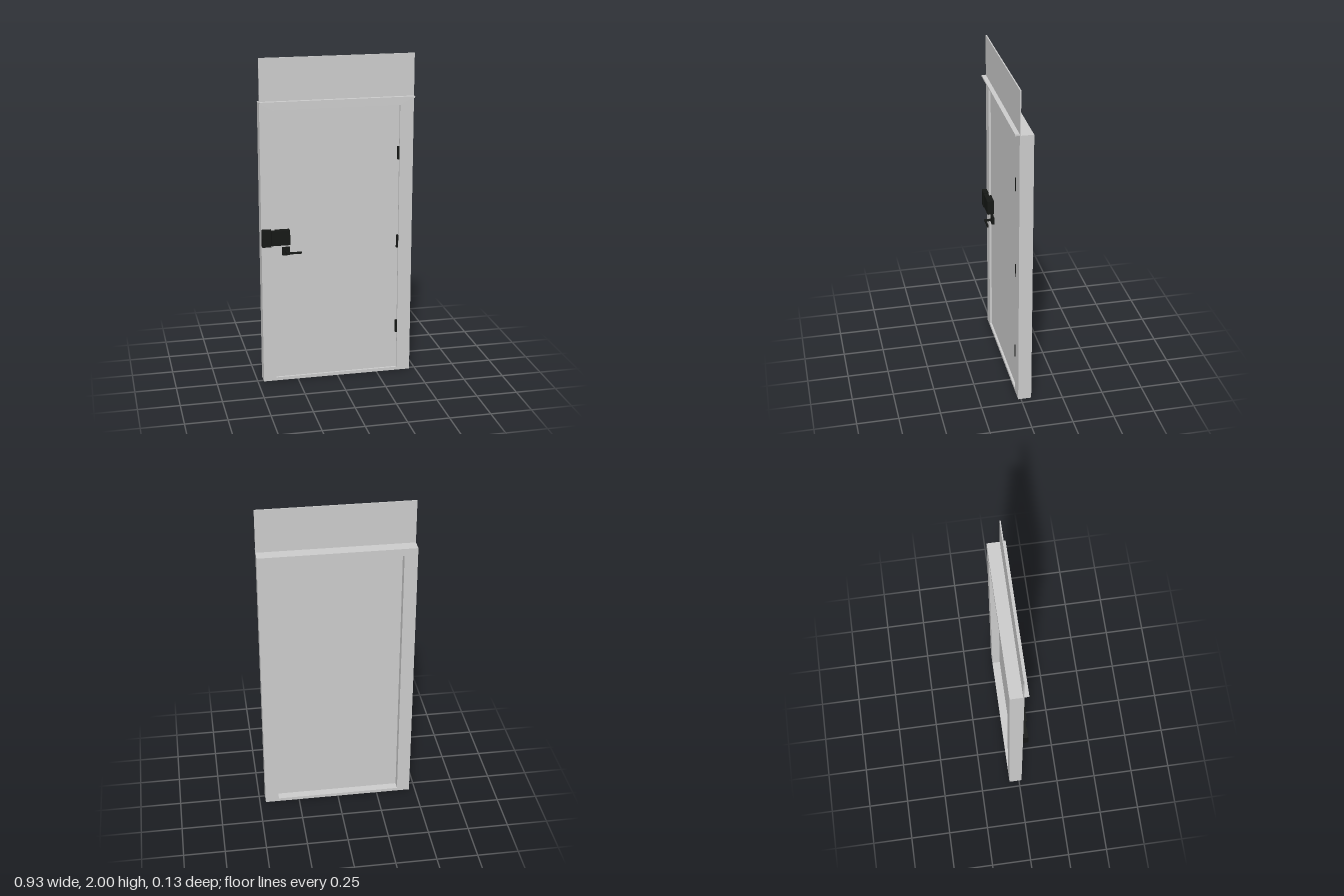
import * as THREE from 'three';

const grey = new THREE.MeshStandardMaterial({ color: 0xcccccc });
const black = new THREE.MeshStandardMaterial({ color: 0x151715 });

// Box given by its minimum and maximum corners
function block(name, [x0, y0, z0], [x1, y1, z1], material) {
  const mesh = new THREE.Mesh(new THREE.BoxGeometry(x1 - x0, y1 - y0, z1 - z0), material);
  mesh.position.set((x0 + x1) / 2, (y0 + y1) / 2, (z0 + z1) / 2);
  mesh.name = name;
  return mesh;
}

function rectangle(Type, x0, y0, x1, y1) {
  return new Type([[x0, y0], [x1, y0], [x1, y1], [x0, y1]].map(([x, y]) => new THREE.Vector2(x, y)));
}

export function createModel() {
  const model = new THREE.Group();
  model.name = 'door';

  const W = 0.463, BACK = -0.064, FRONT = 0.017, TOP = 1.737;
  const left = -0.384, right = 0.38, sill = 0.02, head = 1.692;

  // Frame with a rectangular opening
  const outline = rectangle(THREE.Shape, -W, 0, W, TOP);
  outline.holes.push(rectangle(THREE.Path, left, sill, right, head));
  const frame = new THREE.Mesh(
    new THREE.ExtrudeGeometry(outline, { depth: FRONT - BACK, bevelEnabled: false }), grey);
  frame.position.z = BACK;
  frame.name = 'frame';
  model.add(frame);

  // Door leaf, set back from both faces of the frame
  model.add(block('doorLeaf', [left, sill, -0.014], [right, head, 0.004], grey));

  // Thin upper panel and the drip rail at its foot
  model.add(block('upperPanel', [-W, TOP, 0.01], [W, 2, FRONT], grey));
  model.add(block('dripRail', [-W, TOP, 0.01], [W, 1.747, 0.043], grey));

  // Three hinges on the left jamb
  for (const y of [0.295, 0.85, 1.403]) {
    model.add(block('hinge', [0.368, y - 0.04, 0.003], [0.379, y + 0.04, 0.02], black));
  }

  // Rim lock: keeper on the frame, case on the door
  const lock = new THREE.Group();
  lock.name = 'rimLock';
  lock.add(block('keeper', [-W, 0.875, FRONT], [-0.407, 0.978, 0.049], black));
  lock.add(block('lockCase', [-0.405, 0.88, FRONT], [-0.294, 0.97, 0.046], black));
  lock.add(block('lockBase', [left, 0.88, 0.003], [-0.294, 0.97, FRONT], black));
  model.add(lock);

  // Lever handle: square plate, spindle and grip
  const handle = new THREE.Group();
  handle.name = 'leverHandle';
  handle.add(block('plate', [-0.338, 0.809, 0.003], [-0.291, 0.858, 0.02], black));
  handle.add(block('spindle', [-0.319, 0.827, 0.018], [-0.307, 0.838, 0.055], black));
  handle.add(block('grip', [-0.319, 0.827, 0.053], [-0.227, 0.838, 0.063], black));
  model.add(handle);

  return model;
}
